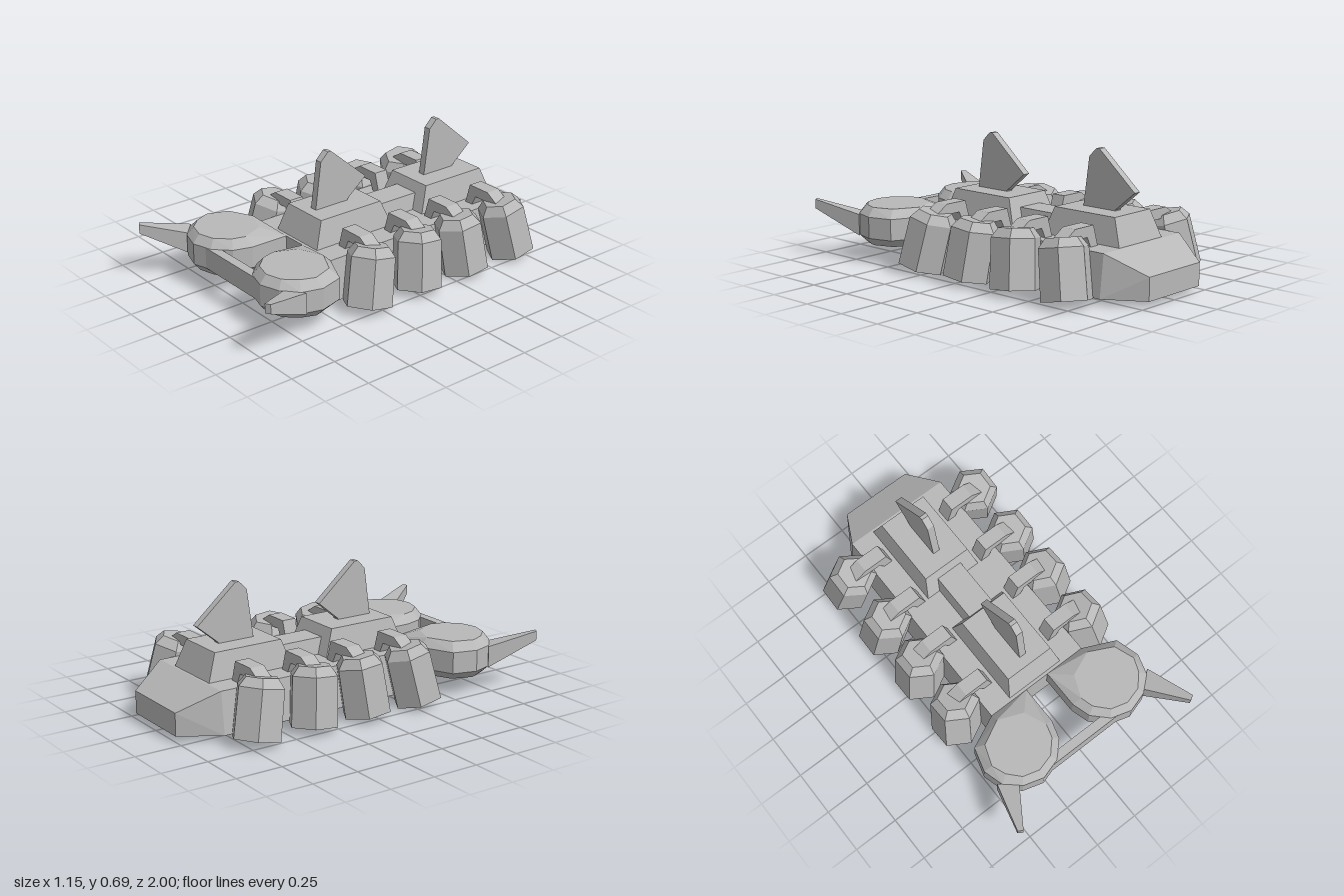
import * as THREE from 'three';
import { ConvexGeometry } from 'three/addons/geometries/ConvexGeometry.js';

const hullGrey = new THREE.MeshStandardMaterial({ color: 0xb8b8b8, flatShading: true });
hullGrey.name = 'hullGrey';

function add(parent, name, geometry) {
  const mesh = new THREE.Mesh(geometry, hullGrey);
  mesh.name = name;
  parent.add(mesh);
  return mesh;
}

// Solid wrapped around a list of [x, y, z] corners
const solid = (points) => new ConvexGeometry(points.map((p) => new THREE.Vector3(...p)));

// Four corners of a horizontal rectangle
const rect = (hx, y, z0, z1) => [[-hx, y, z0], [hx, y, z0], [hx, y, z1], [-hx, y, z1]];

// Flat outline pushed out to a centred thickness
function plate(points, depth) {
  const shape = new THREE.Shape(points.map(([x, y]) => new THREE.Vector2(x, y)));
  return new THREE.ExtrudeGeometry(shape, { depth, bevelEnabled: false }).translate(0, 0, -depth / 2);
}

export function createModel() {
  const model = new THREE.Group();
  model.name = 'walkerVehicle';

  // Main body with sloping, tapered tail
  add(model, 'body', solid([
    ...rect(0.325, 0.04, -0.8, 0.42), ...rect(0.3, 0.26, -0.8, 0.42),
    [-0.2, 0.04, -1], [0.2, 0.04, -1], [-0.2, 0.16, -1], [0.2, 0.16, -1],
  ]));

  // Two deck housings, each with a swept fin, joined by a low bridge
  const finOutline = [[0.297, 0.39], [0.26, 0.655], [0.215, 0.7], [0.195, 0.7], [-0.03, 0.505], [0.09, 0.405], [0.09, 0.39]];
  [['front', 0], ['rear', -0.7]].forEach(([end, dz], i) => {
    add(model, end + 'Housing', solid([
      ...rect(0.168, 0.255, -0.09 + dz, 0.405 + dz), ...rect(0.138, 0.4, -0.035 + dz, 0.352 + dz),
    ]));
    const fin = add(model, end + 'Fin', plate(finOutline.map(([z, y]) => [-z, y]), 0.04));
    fin.rotation.y = Math.PI / 2;
    fin.position.z = i * -0.732;
  });
  add(model, 'bridge', solid([...rect(0.092, 0.255, -0.34, -0.04), ...rect(0.075, 0.345, -0.34, -0.02)]));

  // Front crossbar between the pods
  add(model, 'crossbar', new THREE.BoxGeometry(0.6, 0.115, 0.05)).position.set(0, 0.2025, 0.795);

  // Pod outlines in x, z: widest band and inset cap
  const band = [[0.07, 0.42], [0.07, 0.63], [0.1, 0.73], [0.18, 0.81], [0.29, 0.843], [0.4, 0.81],
    [0.48, 0.74], [0.512, 0.63], [0.475, 0.5], [0.3, 0.42]];
  const cap = [[0.165, 0.52], [0.115, 0.64], [0.135, 0.71], [0.2, 0.78], [0.29, 0.805], [0.38, 0.78],
    [0.44, 0.715], [0.47, 0.64], [0.43, 0.53], [0.3, 0.465]];

  // Leg profile, arm arch in x, y, and leg placement as [z, forward tilt, arm z]
  const legProfile = [[0, -0.15], [0.132, -0.15], [0.128, 0.105], [0.09, 0.152], [0, 0.152]]
    .map(([r, y]) => new THREE.Vector2(r, y));
  const armArch = [[0.185, 0.25], [0.22, 0.367], [0.355, 0.367], [0.445, 0.31], [0.41, 0.27],
    [0.34, 0.312], [0.265, 0.312], [0.235, 0.25]];
  const legs = [[0.268, -0.2, 0.24], [-0.045, -0.1, -0.06], [-0.342, 0.1, -0.335], [-0.662, 0.2, -0.63]];

  for (const side of [1, -1]) {
    const label = side > 0 ? 'left' : 'right';
    const ring = (outline, y) => outline.map(([x, z]) => [side * x, y, z]);

    add(model, label + 'Pod', solid([
      ...ring(cap, 0.1), ...ring(band, 0.145), ...ring(band, 0.26), ...ring(cap, 0.305),
    ]));

    // Tapered horn rising from the pod
    const root = [[0.41, 0.79], [0.5, 0.72]];
    const tip = [[0.551, 1], [0.577, 0.985]];
    add(model, label + 'Horn', solid([
      ...ring(root, 0.145), ...ring(root, 0.26), ...ring(tip, 0.268), ...ring(tip, 0.318),
    ]));

    legs.forEach(([z, tilt, armZ], i) => {
      const leg = add(model, `${label}Leg${i + 1}`, new THREE.LatheGeometry(legProfile, 6));
      leg.position.set(side * 0.42, 0.183, z);
      leg.rotation.set(tilt, 0, side * 0.13);
      const arm = add(model, `${label}Arm${i + 1}`, plate(armArch.map(([x, y]) => [side * x, y]), 0.08));
      arm.position.z = armZ;
    });
  }

  return model;
}
